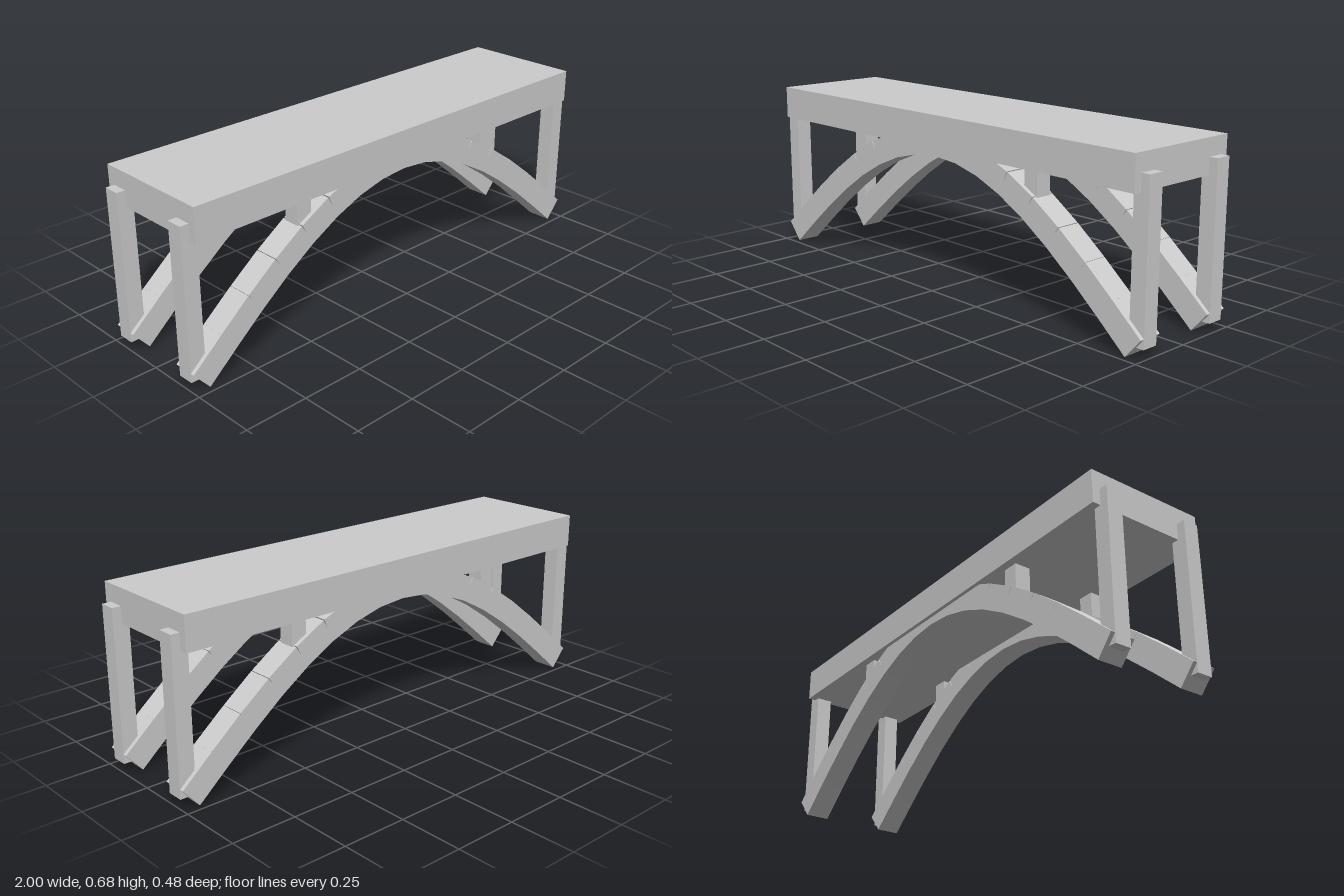
import * as THREE from 'three';

const SPAN = 0.9675;      // half span along the rib centreline
const BASE = 0.038;       // centreline height at the springing
const RISE = 0.536;
const RIB_Z = 0.178;
const SEGMENTS = 16;
const DECK_MID = 0.62;

const archY = (x) => BASE + RISE * Math.cos((Math.PI / 2) * (x / SPAN));

export function createModel() {
  const model = new THREE.Group();
  model.name = 'archBridge';
  const material = new THREE.MeshStandardMaterial({ color: 0xcccccc, flatShading: true });

  const addBox = (parent, name, size, position) => {
    const mesh = new THREE.Mesh(new THREE.BoxGeometry(...size), material);
    mesh.name = name;
    mesh.position.set(...position);
    parent.add(mesh);
    return mesh;
  };

  // Deck
  addBox(model, 'deck', [1.932, 0.13, 0.484], [0, DECK_MID, 0]);

  for (const side of [1, -1]) {
    // Arch rib: straight blocks laid along the chords of a cosine curve
    const rib = new THREE.Group();
    rib.name = side > 0 ? 'frontArchRib' : 'backArchRib';
    model.add(rib);
    for (let i = 0; i < SEGMENTS; i++) {
      const x0 = SPAN * ((2 * i) / SEGMENTS - 1);
      const x1 = x0 + (2 * SPAN) / SEGMENTS;
      const y0 = archY(x0), y1 = archY(x1);
      const length = Math.hypot(x1 - x0, y1 - y0) + 0.0008;
      const block = addBox(rib, 'archBlock', [length, 0.098, 0.097],
        [(x0 + x1) / 2, (y0 + y1) / 2, side * RIB_Z]);
      block.rotation.z = Math.atan2(y1 - y0, x1 - x0);
    }

    // Posts rising from the rib centreline into the deck
    for (const x of [-0.969, -0.484, 0.484, 0.969]) {
      const bottom = archY(Math.max(-SPAN, Math.min(SPAN, x)));
      const top = DECK_MID - 0.002;
      addBox(model, Math.abs(x) > 0.9 ? 'endPost' : 'spandrelPost',
        [0.062, top - bottom, 0.064], [x, (top + bottom) / 2, side * RIB_Z]);
    }
  }
  return model;
}
